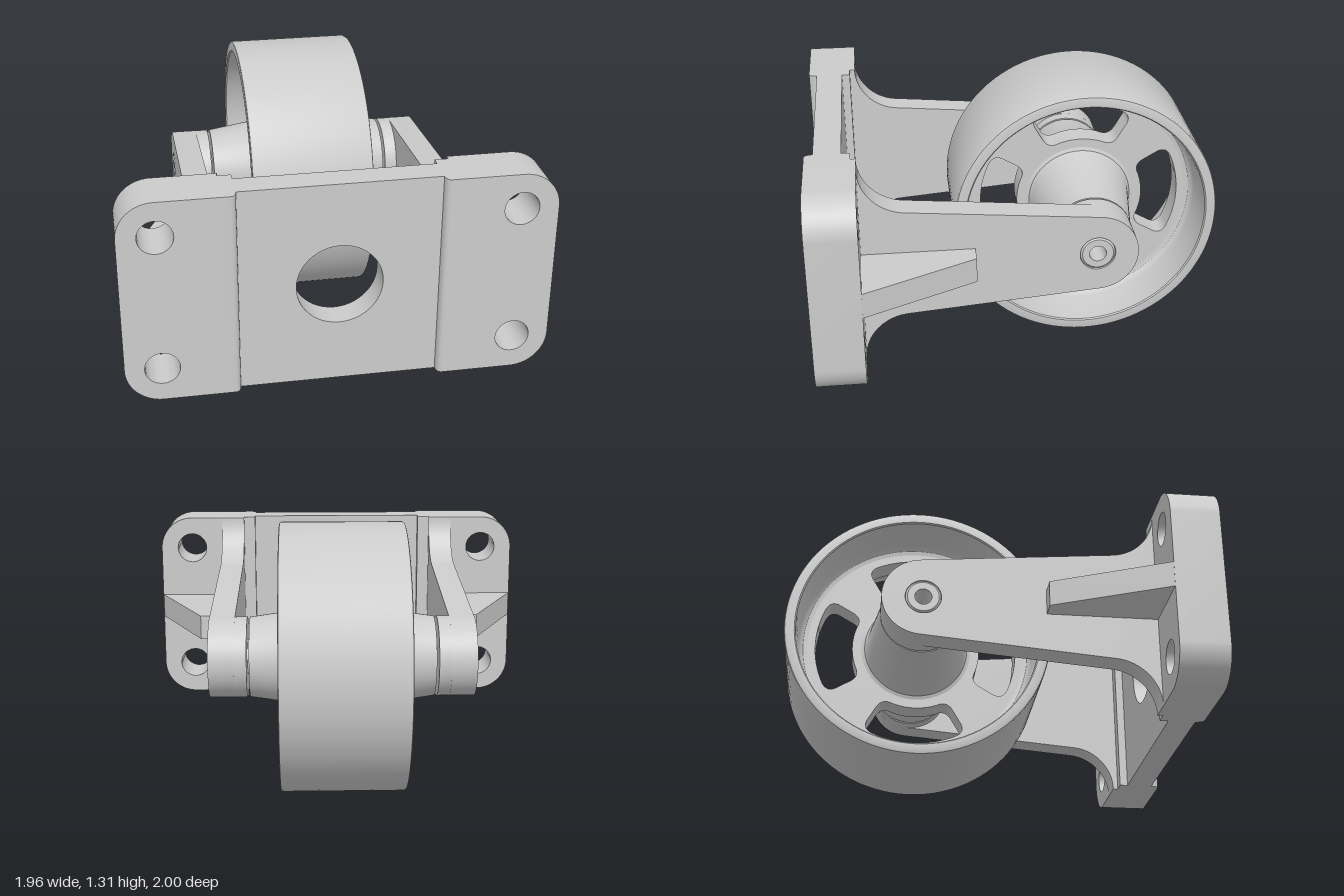
import * as THREE from 'three';
import { toCreasedNormals } from 'three/addons/utils/BufferGeometryUtils.js';

const material = new THREE.MeshStandardMaterial({ color: 0xcccccc });
const MID = 0.655;      // height of the plate centre and the axle
const AXLE_Z = -0.345;

function addMesh(parent, name, geometry) {
  const mesh = new THREE.Mesh(toCreasedNormals(geometry, 0.5), material);
  mesh.name = name;
  parent.add(mesh);
  return mesh;
}

const extrude = (shape, depth) =>
  new THREE.ExtrudeGeometry(shape, { depth, bevelEnabled: false, curveSegments: 24 });

// shape drawn in (z, y), thickness running from x0 to x1
const extrudeX = (shape, x0, x1) =>
  extrude(shape, x1 - x0).rotateY(-Math.PI / 2).translate(x1, 0, 0);

// shape drawn in (x, z), thickness running from y0 to y1
const extrudeY = (shape, y0, y1) =>
  extrude(shape, y1 - y0).rotateX(Math.PI / 2).translate(0, y1, 0);

// closed profile of [radius, x] turned about the x axis
const turned = (profile, segments) =>
  new THREE.LatheGeometry([...profile, profile[0]].map(p => new THREE.Vector2(...p)), segments)
    .rotateZ(-Math.PI / 2);

const circle = (x, y, r) => new THREE.Path().absarc(x, y, r, 0, Math.PI * 2, false);
const polygon = pts => new THREE.Shape(pts.map(p => new THREE.Vector2(...p)));

// one half of the mounting plate, with its arm and rib; s is the side
function addSide(root, s) {
  const side = new THREE.Group();
  side.name = s > 0 ? 'leftBracket' : 'rightBracket';
  root.add(side);

  // thick pad with rounded outer corners and two bolt holes
  const lo = 0.155, hi = 1.157, r = 0.17, k = r * 0.4477, o = 0.98;
  const pad = new THREE.Shape();
  pad.moveTo(s * 0.52, lo);
  pad.lineTo(s * (o - r), lo);
  pad.bezierCurveTo(s * (o - k), lo, s * o, lo + k, s * o, lo + r);
  pad.lineTo(s * o, hi - r);
  pad.bezierCurveTo(s * o, hi - k, s * (o - k), hi, s * (o - r), hi);
  pad.lineTo(s * 0.52, hi);
  pad.closePath();
  for (const d of [-0.333, 0.333]) pad.holes.push(circle(s * 0.81, MID + d, 0.08));
  addMesh(side, 'mountingPad', extrude(pad, 0.235).translate(0, 0, 0.765));

  // step between the pad and the thin web, with a small front fillet
  const step = new THREE.Shape();
  step.moveTo(s * 0.52, 0.79);
  step.lineTo(s * 0.457, 0.79);
  step.lineTo(s * 0.457, 0.965);
  step.quadraticCurveTo(s * 0.46, 0.995, s * 0.48, 1.0);
  step.lineTo(s * 0.52, 1.0);
  step.closePath();
  addMesh(side, 'plateStep', extrudeY(step, lo, hi));

  // tapering arm: flared at the plate, round at the axle
  const arm = new THREE.Shape();
  const flare = 0.228, tilt = 0.09;
  arm.moveTo(0.77, lo);
  arm.lineTo(0.765, lo);
  arm.absarc(0.765 - flare, lo, flare, 0, Math.PI / 2 - tilt, false);
  arm.absarc(AXLE_Z, MID, 0.195, -Math.PI / 2 - tilt, Math.PI / 2 + tilt, true);
  arm.absarc(0.765 - flare, hi, flare, -Math.PI / 2 + tilt, 0, false);
  arm.lineTo(0.77, hi);
  arm.closePath();
  arm.holes.push(circle(AXLE_Z, MID, 0.085));
  addMesh(side, 'arm', s > 0 ? extrudeX(arm, 0.517, 0.64) : extrudeX(arm, -0.64, -0.517));

  // spacer boss on the inner face of the arm
  const boss = new THREE.Shape().absarc(AXLE_Z, MID, 0.195, 0, Math.PI * 2, false);
  boss.holes.push(circle(AXLE_Z, MID, 0.085));
  addMesh(side, 'armBoss', s > 0 ? extrudeX(boss, 0.457, 0.517) : extrudeX(boss, -0.517, -0.457));

  // triangular stiffening rib
  const rib = polygon([[0.63, 0.235], [0.73, 0.235], [0.978, 0.765], [0.63, 0.765]]
    .map(([x, z]) => [s * x, z]));
  addMesh(side, 'rib', extrudeY(rib, 0.595, 0.72));
}

// kidney window in the wheel web, centred on angle a
function windowPath(a) {
  const r0 = 0.32, r1 = 0.505, half = 0.53, c = 0.055;
  const at = (r, t) => [r * Math.cos(a + t), r * Math.sin(a + t)];
  const p = new THREE.Path();
  p.moveTo(...at(r1, -half + c / r1));
  p.absarc(0, 0, r1, a - half + c / r1, a + half - c / r1, false);
  p.quadraticCurveTo(...at(r1, half), ...at(r1 - c, half));
  p.lineTo(...at(r0 + c, half));
  p.quadraticCurveTo(...at(r0, half), ...at(r0, half - c / r0));
  p.absarc(0, 0, r0, a + half - c / r0, a - half + c / r0, true);
  p.quadraticCurveTo(...at(r0, -half), ...at(r0 + c, -half));
  p.lineTo(...at(r1 - c, -half));
  p.quadraticCurveTo(...at(r1, -half), ...at(r1, -half + c / r1));
  return p;
}

// mirror half a profile (running towards +x) to make the full closed one
const mirrored = half =>
  [...half.map(([r, x]) => [r, -x]).reverse(), ...half];

export function createModel() {
  const root = new THREE.Group();
  root.name = 'caster';

  // thin centre of the mounting plate
  const centre = polygon([[-0.46, 0.155], [0.46, 0.155], [0.46, 1.157], [-0.46, 1.157]]);
  centre.holes.push(circle(0, MID, 0.198));
  addMesh(root, 'plateCentre', extrude(centre, 0.13).translate(0, 0, 0.83));

  addSide(root, 1);
  addSide(root, -1);

  const wheel = new THREE.Group();
  wheel.name = 'wheel';
  wheel.position.set(0, MID, AXLE_Z);
  root.add(wheel);

  // rim, with eased edges and a fillet down to the web
  const rim = mirrored([
    [0.653, 0.288], [0.649, 0.297], [0.641, 0.3], [0.603, 0.3], [0.597, 0.294],
    [0.585, 0.1], [0.578, 0.077], [0.565, 0.064], [0.545, 0.06]
  ]);
  addMesh(wheel, 'rim', turned(rim, 96));

  // web with four windows
  const web = new THREE.Shape().absarc(0, 0, 0.59, 0, Math.PI * 2, false);
  web.holes.push(circle(0, 0, 0.2));
  for (let i = 0; i < 4; i++) web.holes.push(windowPath(i * Math.PI / 2));
  addMesh(wheel, 'web', extrudeX(web, -0.06, 0.06));

  // tapered hub with a bore
  const hub = mirrored([
    [0.275, 0.06], [0.258, 0.066], [0.247, 0.085], [0.194, 0.445], [0.085, 0.445]
  ]);
  addMesh(wheel, 'hub', turned(hub, 64));

  // hollow axle with chamfered ends
  const axle = mirrored([[0.084, 0.63], [0.074, 0.64], [0.04, 0.64]]);
  addMesh(wheel, 'axle', turned(axle, 48));

  return root;
}
